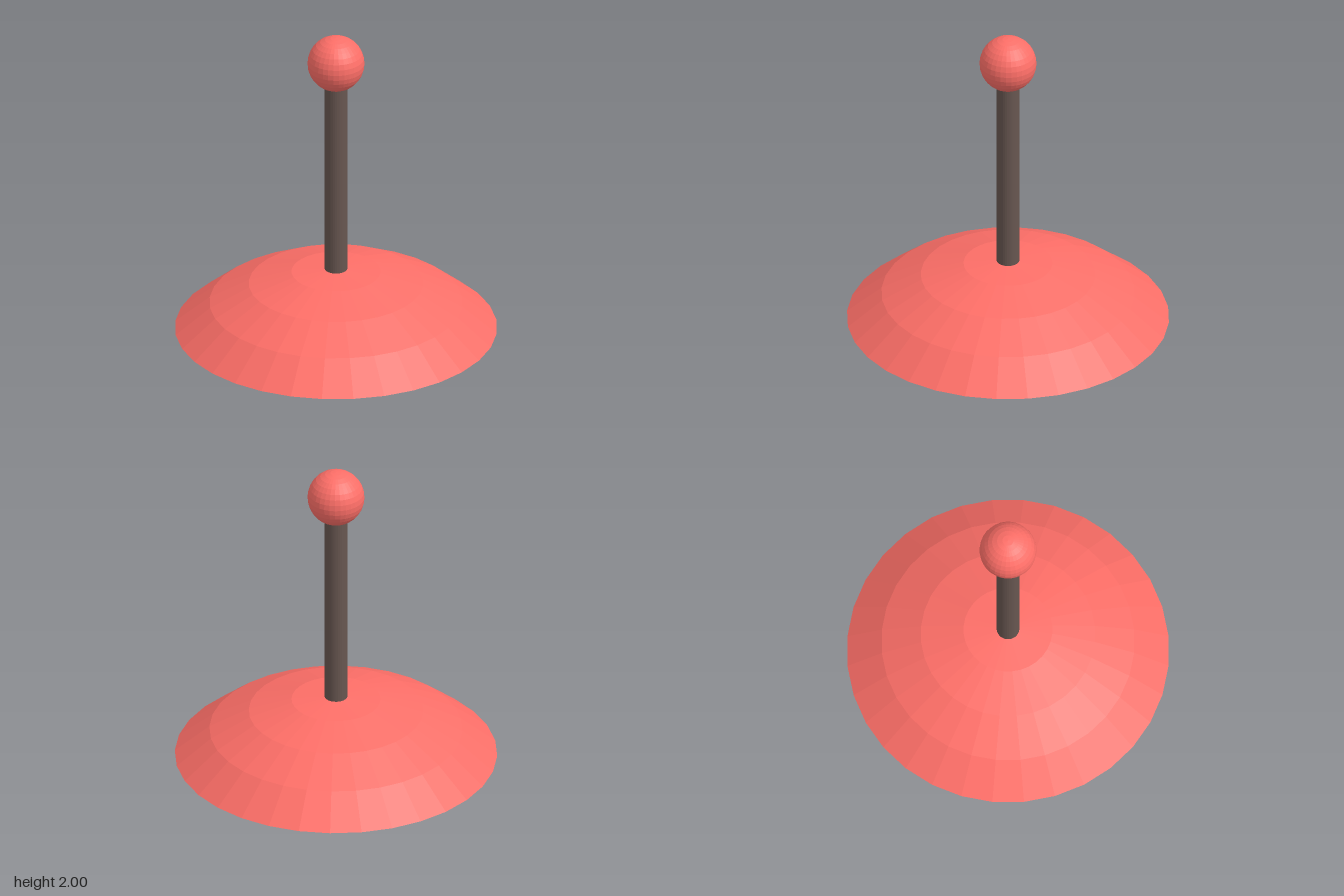
import * as THREE from 'three';

const R = 1.4106;                    // radius of the sphere the dome is cut from
const rimY = R * Math.cos(Math.PI / 4); // lowers the cap so its rim rests on y = 0

export function createModel() {
  const group = new THREE.Group();
  const red = new THREE.MeshStandardMaterial({ color: 0xff6f68, flatShading: true, side: THREE.DoubleSide });
  const brown = new THREE.MeshStandardMaterial({ color: 0x675650, flatShading: true });

  const add = (name, geometry, material, y) => {
    const mesh = new THREE.Mesh(geometry, material);
    mesh.name = name;
    mesh.position.y = y;
    group.add(mesh);
  };

  // Thin open dome: a 45 degree spherical cap
  add('domeBase', new THREE.SphereGeometry(R, 32, 4, 0, Math.PI * 2, 0, Math.PI / 4), red, -rimY);

  // Post passing through the dome and ending inside the ball
  add('post', new THREE.CylinderGeometry(0.05 * R, 0.05 * R, 1.2 * R, 32), brown, 1.4 * R - rimY);

  // Ball on top
  add('ballKnob', new THREE.SphereGeometry(R / 8, 32, 16), red, 2 * R - rimY);

  return group;
}
